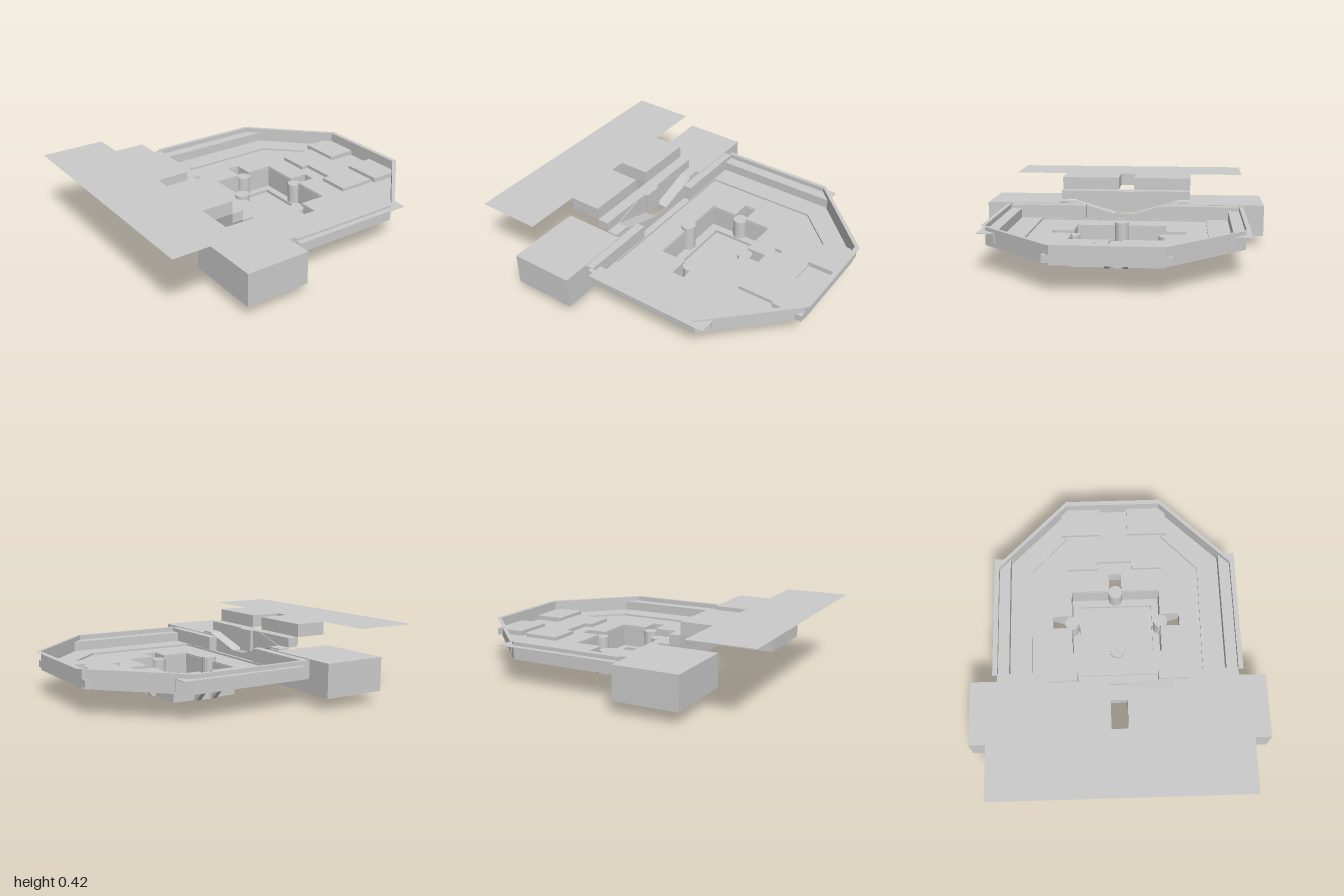
import * as THREE from 'three';

const mat = new THREE.MeshStandardMaterial({ color: 0xcccccc, flatShading: true, side: THREE.DoubleSide });

export function createModel() {
  const root = new THREE.Group();

  const add = (name, geo, parent = root) => {
    const m = new THREE.Mesh(geo, mat);
    m.name = name;
    parent.add(m);
    return m;
  };
  // box from min/max corners
  const box = (name, x0, x1, y0, y1, z0, z1, parent = root) => {
    const m = add(name, new THREE.BoxGeometry(x1 - x0, y1 - y0, z1 - z0), parent);
    m.position.set((x0 + x1) / 2, (y0 + y1) / 2, (z0 + z1) / 2);
    return m;
  };
  const poly = pts => pts.map(p => new THREE.Vector2(p[0], p[1]));
  // half outline (x > 0) mirrored into a closed outline
  const mirrored = pts => [...pts, ...pts.map(([x, z]) => [-x, z]).reverse()];
  // horizontal slab from an x/z outline, with its top at y
  const slab = (name, pts, top, depth, holes = []) => {
    const s = new THREE.Shape(poly(pts));
    holes.forEach(h => s.holes.push(new THREE.Path(poly(h))));
    const g = depth
      ? new THREE.ExtrudeGeometry(s, { depth, bevelEnabled: false })
      : new THREE.ShapeGeometry(s);
    g.rotateX(Math.PI / 2);
    add(name, g).position.y = top;
  };
  // vertical panel from an x/y outline
  const panel = (name, pts, z, depth, parent = root) => {
    const g = new THREE.ExtrudeGeometry(new THREE.Shape(poly(pts)), { depth, bevelEnabled: false });
    const m = add(name, g, parent);
    m.position.z = z;
    return m;
  };
  // vertical thin wall along an x/z path
  const ribbon = (name, pts, y0, y1) => {
    const pos = [], idx = [];
    pts.forEach(([x, z], i) => {
      pos.push(x, y0, z, x, y1, z);
      if (i) idx.push(2 * i - 2, 2 * i - 1, 2 * i, 2 * i, 2 * i - 1, 2 * i + 1);
    });
    const g = new THREE.BufferGeometry();
    g.setAttribute('position', new THREE.Float32BufferAttribute(pos, 3));
    g.setIndex(idx);
    const flat = g.toNonIndexed();
    flat.computeVertexNormals();
    add(name, flat);
  };

  // Arena outlines
  const inner = mirrored([[0.745, 0.24], [0.745, -0.53], [0.305, -0.97]]);
  const outer = mirrored([[0.77, 0.2], [0.77, -0.535], [0.31, -1]]);
  const rimInner = mirrored([[0.745, 0.2], [0.745, -0.53], [0.305, -0.97]]);

  // Cross-shaped opening: central pit with three channels
  const c = 0.04, px = 0.285, pz0 = -0.39, pz1 = 0.03, mz = -0.18;
  const opening = mirrored([
    [px, pz1], [px, mz + c], [0.41, mz + c], [0.41, mz - c],
    [px, mz - c], [px, pz0], [c, pz0], [c, -0.51],
  ]);
  slab('floor', inner, 0.168, 0.013, [opening]);

  // Outer wall with its narrow top rim
  ribbon('outerWall', inner, 0.155, 0.27);
  slab('wallRim', outer, 0.27, 0, [rimInner]);

  // Raised terrace around the floor
  slab('terrace', mirrored([[0.54, 0.19], [0.74, 0.19], [0.74, -0.53], [0.305, -0.965],
    [0.305, -0.775], [0.31, -0.77], [0.54, -0.53]].slice(0, 4)), 0.18, 0.012,
    [mirrored([[0.535, 0.185], [0.54, -0.53], [0.31, -0.775]])]);

  // Platform at the back, notched at its front
  slab('backPlatform', mirrored([[0.31, -0.78], [0.31, -0.54], [0.11, -0.54], [0.11, -0.59]]), 0.19, 0.022);

  for (const s of [-1, 1]) {
    const side = new THREE.Group();
    side.name = s > 0 ? 'leftSide' : 'rightSide';
    side.scale.x = s;
    root.add(side);
    box('backBlock', 0.09, 0.345, 0.168, 0.21, -0.97, -0.78, side);
    // side ledge that passes through the wall
    box('sideLedge', 0.675, 0.78, 0.236, 0.24, -0.605, 0.19, side);
    box('ledgeFace', 0.675, 0.68, 0.17, 0.24, -0.6, 0.19, side);
    box('frontParapet', 0.25, 0.745, 0.16, 0.265, 0.19, 0.245, side);
    // large corner box, open underneath
    const x0 = 0.43, x1 = 0.91, y0 = 0.07, y1 = 0.27, z0 = 0.24, z1 = 0.635, t = 0.004;
    box('cornerBoxTop', x0, x1, y1 - t, y1, z0, z1, side);
    box('cornerBoxInnerWall', x0, x0 + t, y0, y1, z0, z1, side);
    box('cornerBoxOuterWall', x1 - t, x1, y0, y1, z0, z1, side);
    box('cornerBoxBack', x0, x1, y0, y1, z0, z0 + t, side);
    box('cornerBoxFront', x0, x1, y0, y1, z1 - t, z1, side);
    // gate: sill and sloping trough side
    box('gateSill', 0.33, 0.43, 0.272, 0.28, 0.26, 0.33, side);
    panel('gateSlope', [[0.06, 0.2], [0.33, 0.28], [0.33, 0.274], [0.06, 0.194]], 0.25, 0.08, side);
  }

  // Gate: wall below, six-sided door, centre post
  panel('frontWall', mirrored([[0.43, 0.07], [0.43, 0.27], [0.33, 0.27], [0.06, 0.2]]), 0.25, 0.004);
  panel('gateDoor', mirrored([[0.06, 0.2], [0.33, 0.28], [0.13, 0.34]]), 0.325, 0.006);
  box('gatePost', -0.06, 0.06, 0.2, 0.34, 0.305, 0.33);

  // Stepped roof over the gate, and the wide front deck
  panel('gateStep', mirrored([[0.43, 0.282], [0.43, 0.34]]), 0.33, 0.07);
  slab('gateRoof', mirrored([[0.43, 0.4], [0.43, 0.6], [0.05, 0.6], [0.05, 0.4]].slice(0, 2))
    .concat([[-0.05, 0.4], [-0.05, 0.597], [0.05, 0.597], [0.05, 0.4]]), 0.42, 0.08);
  slab('frontDeck', mirrored([[0.785, 0.6], [0.785, 1]]), 0.42, 0);

  // Sunken pit: bottom, curb and walls, with gaps at the three channels
  const pit = new THREE.Group();
  pit.name = 'pit';
  root.add(pit);
  box('pitBottom', -px, px, 0, 0.006, pz0, pz1, pit);
  slab('pitCurb', mirrored([[px, pz1], [px, pz0]]), 0.025, 0.02,
    [mirrored([[0.235, -0.03], [0.235, -0.34]])]);
  box('pitFrontWall', -px, px, 0, 0.16, pz1 - 0.003, pz1 + 0.003, pit);
  for (const s of [-1, 1]) {
    const half = new THREE.Group();
    half.name = 'pitHalf';
    half.scale.x = s;
    pit.add(half);
    box('pitBackWall', c, px, 0, 0.16, pz0 - 0.003, pz0 + 0.003, half);
    box('pitSideWallRear', px - 0.003, px + 0.003, 0, 0.16, pz0, mz - c, half);
    box('pitSideWallFront', px - 0.003, px + 0.003, 0, 0.16, mz + c, pz1, half);
  }

  // Channels: sloped side cheeks and an end wall, open below
  const channel = (x, z, turn) => {
    const g = new THREE.Group();
    g.name = 'channel';
    g.position.set(x, 0, z);
    g.rotation.y = turn;
    pit.add(g);
    const cheek = [[0, 0], [0.025, 0], [0.1, 0.07], [0.125, 0.09], [0.125, 0.16], [0, 0.16]];
    panel('channelCheek', cheek, c, 0.03, g);
    panel('channelCheek', cheek, -c - 0.03, 0.03, g);
    box('channelEnd', 0.12, 0.125, 0.08, 0.16, -c, c, g);
  };
  channel(px, mz, 0);
  channel(-px, mz, Math.PI);
  channel(0, pz0, Math.PI / 2);

  // Round posts at the middle of each pit side
  for (const [x, z, h] of [[px, mz, 0.15], [-px, mz, 0.15], [0, pz0, 0.15], [0, pz1, 0.19]]) {
    const post = add('pitPost', new THREE.CylinderGeometry(0.045, 0.045, h - 0.005, 16), pit);
    post.position.set(x, (h + 0.005) / 2, z);
  }

  return root;
}
